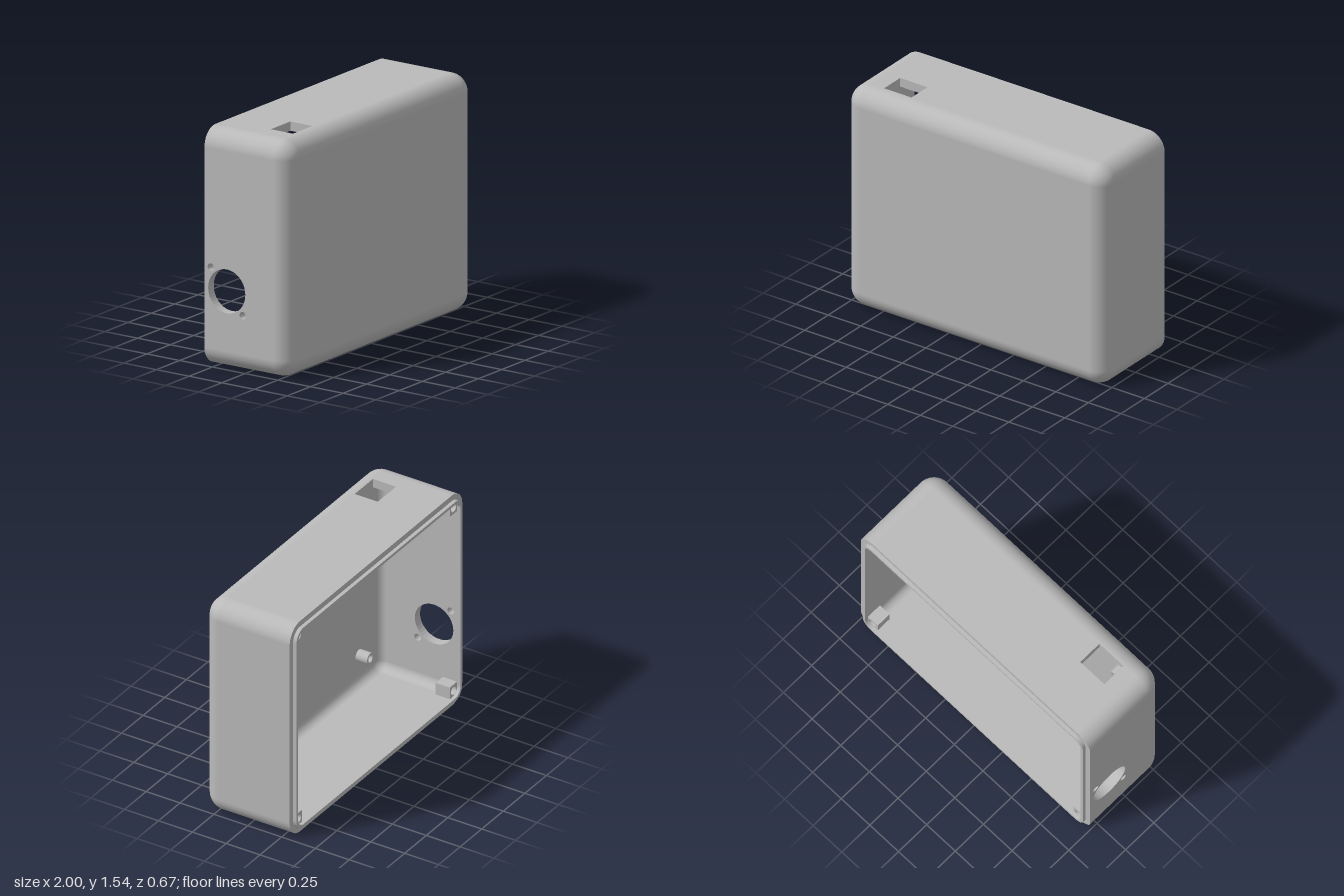
import * as THREE from 'three';

const W = 2, H = 1.54, R = 0.12, T = 0.06;       // outer size, edge radius, wall
const FRONT = 0.335, RIM = -0.31, LIP = -0.335;  // depths along z
const CX = W / 2 - R, CY = H / 2 - R, MID = H / 2;
const STRAIGHT = FRONT - R;                      // where the front rounding begins

const rect = (Type, x0, y0, x1, y1) => new Type([
  [x0, y0], [x1, y0], [x1, y1], [x0, y1]].map(p => new THREE.Vector2(...p)));

const circle = (Type, x, y, r) => {
  const c = new Type();
  c.absarc(x, y, r, 0, Math.PI * 2, false);
  return c;
};

// Rounded rectangle, inset from the outer outline
function outline(Type, inset) {
  const s = new Type(), r = R - inset, q = Math.PI / 2;
  s.absarc(CX, CY, r, 0, q, false);
  s.absarc(-CX, CY, r, q, 2 * q, false);
  s.absarc(-CX, -CY, r, 2 * q, 3 * q, false);
  s.absarc(CX, -CY, r, 3 * q, 4 * q, false);
  s.closePath();
  return s;
}

const extrude = (shape, depth) =>
  new THREE.ExtrudeGeometry(shape, { depth, bevelEnabled: false, curveSegments: 20 });

// Rounded corners, front edges and front face; the flat sides are separate panels
function skin(r, inward) {
  const n = 12, m = 4 * (n + 1), pos = [], nor = [], idx = [], sign = inward ? -1 : 1;
  const tri = (a, b, c) => inward ? idx.push(a, c, b) : idx.push(a, b, c);
  const ring = (t, z) => {
    for (let k = 0; k < 4; k++) for (let j = 0; j <= n; j++) {
      const a = (k + j / n) * Math.PI / 2;
      const nx = Math.cos(a) * Math.cos(t), ny = Math.sin(a) * Math.cos(t);
      const cx = k === 0 || k === 3 ? CX : -CX, cy = k < 2 ? CY : -CY;
      pos.push(cx + r * nx, cy + r * ny, z);
      nor.push(sign * nx, sign * ny, sign * Math.sin(t));
    }
  };
  ring(0, RIM);
  for (let i = 0; i <= n; i++) {
    const t = i / n * Math.PI / 2;
    ring(t, STRAIGHT + r * Math.sin(t));
  }
  for (let i = 0; i <= n; i++) for (let j = 0; j < m; j++) {
    if (i === 0 && j % (n + 1) === n) continue;
    const a = i * m + j, b = i * m + (j + 1) % m;
    tri(a, b, b + m);
    tri(a, b + m, a + m);
  }
  const f = (n + 1) * m, s = n + 1;
  tri(f, f + s, f + 2 * s);
  tri(f, f + 2 * s, f + 3 * s);
  const g = new THREE.BufferGeometry();
  g.setAttribute('position', new THREE.Float32BufferAttribute(pos, 3));
  g.setAttribute('normal', new THREE.Float32BufferAttribute(nor, 3));
  g.setIndex(idx);
  return g;
}

export function createModel() {
  const model = new THREE.Group();
  const grey = new THREE.MeshStandardMaterial({ color: 0xbababa });
  grey.name = 'grey plastic';
  const add = (name, geometry, x = 0, y = MID, z = 0) => {
    const mesh = new THREE.Mesh(geometry, grey);
    mesh.name = name;
    mesh.position.set(x, y, z);
    model.add(mesh);
    return mesh;
  };

  // Shell
  add('outerShell', skin(R, false));
  add('innerShell', skin(R - T, true));

  // Top and bottom walls, the top one with a rectangular cutout
  const top = rect(THREE.Shape, -CX, RIM, CX, STRAIGHT);
  top.holes.push(rect(THREE.Path, -0.78, 0.04, -0.57, 0.21));
  const bottom = rect(THREE.Shape, -CX, RIM, CX, STRAIGHT);
  add('topWall', extrude(top, T).rotateX(Math.PI / 2), 0, H);
  add('bottomWall', extrude(bottom, T).rotateX(Math.PI / 2), 0, T);

  // Side walls, the right one with a round opening and two screw holes
  const left = rect(THREE.Shape, RIM, -CY, STRAIGHT, CY);
  const right = rect(THREE.Shape, RIM, -CY, STRAIGHT, CY);
  const hz = -0.14, hy = 0.51 - MID;
  right.holes.push(circle(THREE.Path, hz, hy, 0.142));
  for (const s of [-1, 1])
    right.holes.push(circle(THREE.Path, hz + s * 0.122, hy - s * 0.137, 0.024));
  add('leftWall', extrude(left, T).rotateY(-Math.PI / 2), W / 2);
  add('rightWall', extrude(right, T).rotateY(-Math.PI / 2), -W / 2 + T);

  // Back rim and the raised lip inside it
  const rim = outline(THREE.Shape, 0);
  rim.holes.push(outline(THREE.Path, T));
  add('backRim', new THREE.ShapeGeometry(rim, 12).rotateY(Math.PI), 0, MID, RIM);
  const lip = outline(THREE.Shape, 0.04);
  lip.holes.push(outline(THREE.Path, T));
  add('backLip', extrude(lip, RIM - LIP), 0, MID, LIP);

  // Screw posts in the corners and hollow standoffs on the front wall
  const post = rect(THREE.Shape, -0.045, -0.045, 0.045, 0.045);
  post.holes.push(circle(THREE.Path, 0, 0, 0.03));
  const postGeo = extrude(post, 0.09);
  const postEnd = new THREE.BoxGeometry(0.09, 0.09, 0.015);
  const tube = circle(THREE.Shape, 0, 0, 0.04);
  tube.holes.push(circle(THREE.Path, 0, 0, 0.025));
  const tubeGeo = extrude(tube, 0.09);
  for (const sx of [-1, 1]) for (const sy of [-1, 1]) {
    const px = sx * (W / 2 - 0.1), py = MID + sy * (H / 2 - 0.1);
    add('cornerPost', postGeo, px, py, RIM);
    add('cornerPostEnd', postEnd, px, py, RIM + 0.0975);
    add('standoff', tubeGeo, sx * 0.72, MID + sy * 0.51, FRONT - T - 0.085);
  }
  return model;
}
